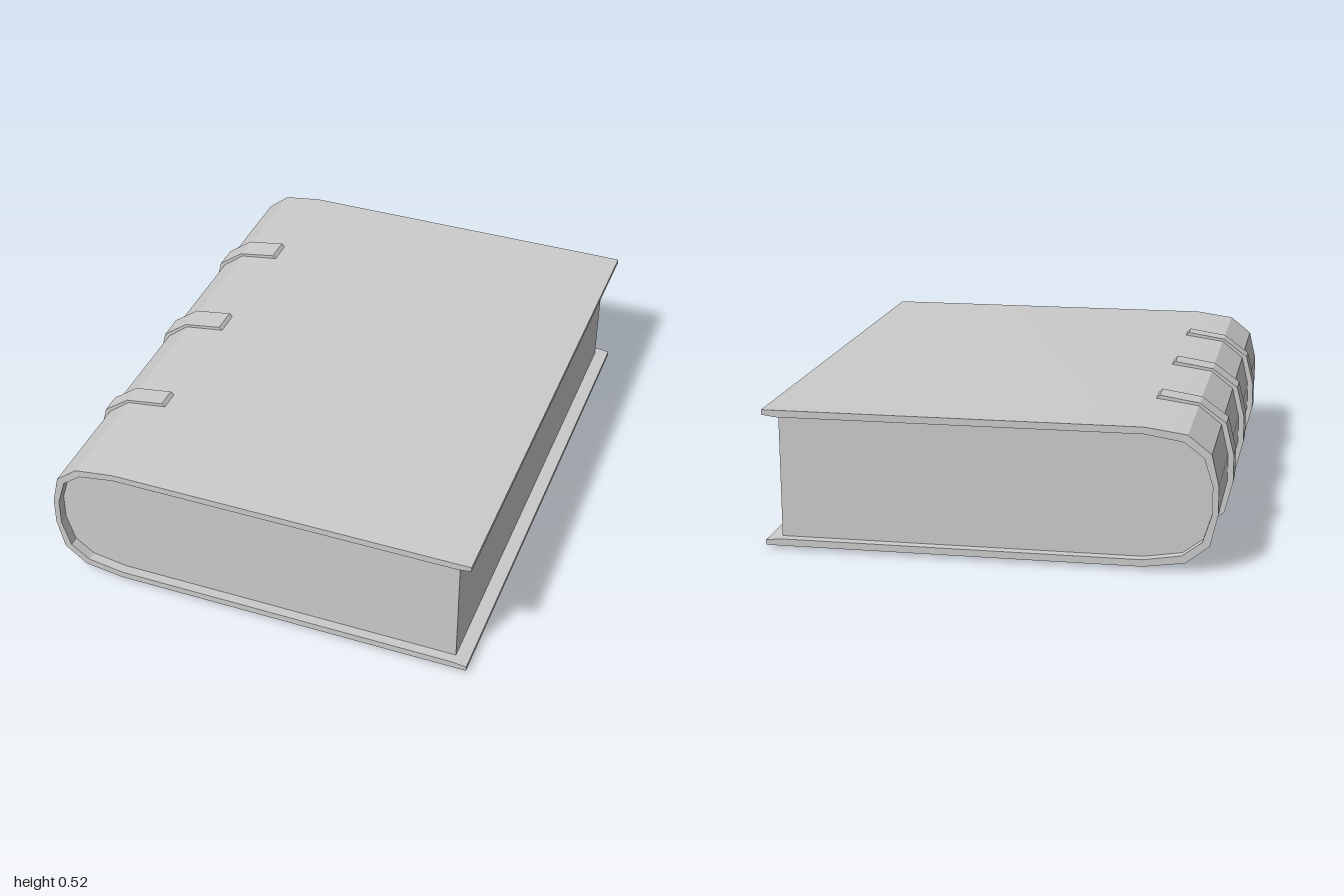
import * as THREE from 'three';
import { toCreasedNormals } from 'three/addons/utils/BufferGeometryUtils.js';

const MID_Y = 0.262; // the book is symmetric above and below this height

// Mirrors the upper half of a profile to run from the top edge round the spine to the bottom edge.
const mirrored = (half) => [
  ...half,
  ...half.slice().reverse().map(([x, y]) => [x, 2 * MID_Y - y]),
];

// Extrudes a closed outline along z between two positions.
function slab(name, points, z0, z1, material) {
  const shape = new THREE.Shape(points.map(([x, y]) => new THREE.Vector2(x, y)));
  const geometry = new THREE.ExtrudeGeometry(shape, { depth: z1 - z0, bevelEnabled: false });
  geometry.translate(0, 0, z0);
  const mesh = new THREE.Mesh(toCreasedNormals(geometry, 0.3), material);
  mesh.name = name;
  return mesh;
}

export function createModel() {
  const material = new THREE.MeshStandardMaterial({ color: 0xcccccc });
  const book = new THREE.Group();
  book.name = 'book';

  // Half profiles from the top edge down to the middle of the spine
  const spineOuter = [[-0.535, 0.51], [-0.683, 0.489], [-0.765, 0.424], [-0.791, 0.312]];
  const spineInner = [[-0.535, 0.485], [-0.67, 0.463], [-0.739, 0.411], [-0.77, 0.312]];
  const bandOuter = [[-0.53, 0.51], [-0.542, 0.522], [-0.687, 0.499], [-0.783, 0.428], [-0.812, 0.312]];

  // Cover: two boards joined by the rounded spine, thinning at the fore edge
  const outer = mirrored([[0.81, 0.51], ...spineOuter]);
  const inner = mirrored([[0.81, 0.492], [0.76, 0.485], ...spineInner]);
  book.add(slab('cover', [...outer, ...inner.reverse()], -1, 1, material));

  // Page block, set back from the cover edges
  book.add(slab('pages', mirrored([[0.76, 0.485], ...spineInner]), -0.963, 0.963, material));

  // Raised bands wrapped round the spine
  const bandOutline = [...mirrored(bandOuter), ...mirrored(spineOuter).reverse()];
  const bands = new THREE.Group();
  bands.name = 'spineBands';
  for (const [z0, z1] of [[-0.597, -0.498], [-0.052, 0.05], [0.494, 0.574]]) {
    bands.add(slab('spineBand', bandOutline, z0, z1, material));
  }
  book.add(bands);

  return book;
}
